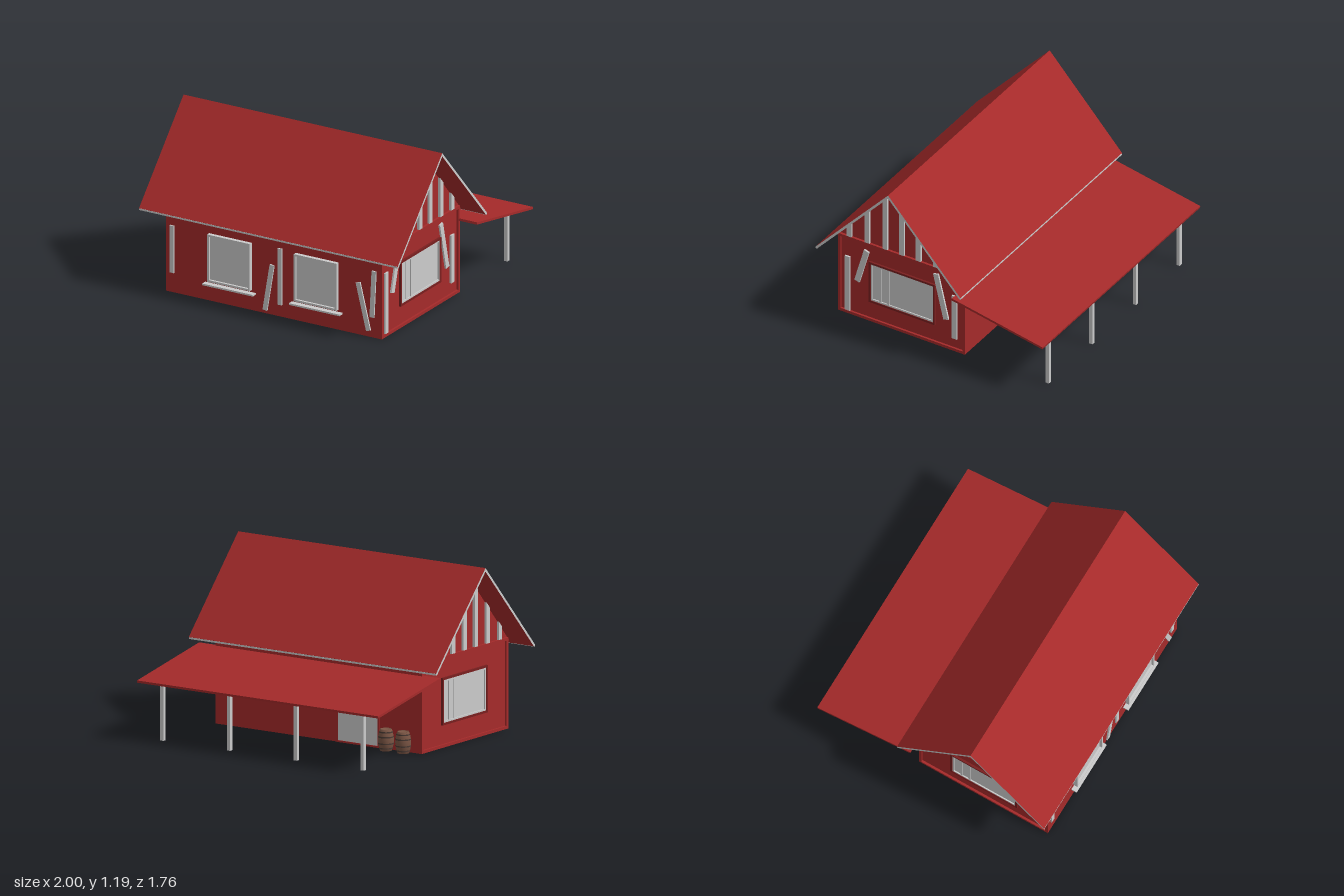
import * as THREE from 'three';

const mat = (color) => new THREE.MeshStandardMaterial({ color });
const grey = mat(0xcccccc), red = mat(0xa52a2a), darkRed = mat(0x7a1f1f);
const wood = mat(0x7a5544), hoopMat = mat(0x4a3a34);
const MID = 0.315; // z of the ridge

function add(parent, name, geo, material, x = 0, y = 0, z = 0) {
  const m = new THREE.Mesh(geo, material);
  m.name = name;
  m.position.set(x, y, z);
  parent.add(m);
  return m;
}

// Box given by its min and max corners
function box(parent, name, material, x0, x1, y0, y1, z0, z1) {
  return add(parent, name, new THREE.BoxGeometry(x1 - x0, y1 - y0, z1 - z0), material,
    (x0 + x1) / 2, (y0 + y1) / 2, (z0 + z1) / 2);
}

// Flat plank running from (ax, ay) to (bx, by) on a wall facing local +z
function plank(parent, ax, ay, bx, by, w, z, depth) {
  const len = Math.hypot(bx - ax, by - ay);
  const m = add(parent, 'wallPlank', new THREE.BoxGeometry(w, len, depth), grey,
    (ax + bx) / 2, (ay + by) / 2, z);
  m.rotation.z = -Math.atan2(bx - ax, by - ay);
}

// Rectangular frame with an opening, extruded along local +z
function frame(parent, name, material, x0, x1, y0, y1, t, z, depth) {
  const s = new THREE.Shape([[x0, y0], [x1, y0], [x1, y1], [x0, y1]].map(p => new THREE.Vector2(...p)));
  s.holes.push(new THREE.Path([[x0 + t, y0 + t], [x0 + t, y1 - t], [x1 - t, y1 - t], [x1 - t, y0 + t]]
    .map(p => new THREE.Vector2(...p))));
  return add(parent, name, new THREE.ExtrudeGeometry(s, { depth, bevelEnabled: false }), material, 0, 0, z);
}

// Cross-section in (u, y) extruded along x, centred on the ridge line
function prism(parent, name, pts, half, material) {
  const s = new THREE.Shape(pts.map(p => new THREE.Vector2(...p)));
  const g = new THREE.ExtrudeGeometry(s, { depth: 2 * half, bevelEnabled: false });
  g.translate(0, 0, -half).rotateY(Math.PI / 2);
  return add(parent, name, g, material, 0, 0, MID);
}

// One gable end: wall frame, window and battens under the roof slope
function gableEnd(side) {
  const g = new THREE.Group();
  g.name = side > 0 ? 'leftGableEnd' : 'rightGableEnd';
  g.rotation.y = side * Math.PI / 2;
  g.position.z = MID;
  frame(g, 'wallFrame', red, -0.495, 0.495, 0, 0.615, 0.02, 0.815, 0.02);
  frame(g, 'windowSurround', darkRed, -0.255, 0.26, 0.15, 0.47, 0.015, 0.815, 0.02);
  frame(g, 'windowFrame', grey, -0.24, 0.245, 0.165, 0.455, 0.012, 0.815, 0.016);
  box(g, 'windowPane', grey, -0.23, 0.235, 0.17, 0.45, 0.815, 0.823);
  for (const u of [-0.17, -0.11]) box(g, 'windowBar', grey, u - 0.008, u + 0.008, 0.17, 0.45, 0.815, 0.829);
  // battens with tops cut to the roof pitch
  const roofY = (u) => 1.165 - Math.abs(u) * 1.1;
  for (const u of [-0.41, -0.27, -0.13, 0, 0.13, 0.265, 0.405]) {
    const a = u - 0.019, b = u + 0.019;
    const pts = [[a, 0.615], [b, 0.615], [b, roofY(b)]];
    if (u === 0) pts.push([0, roofY(0)]);
    pts.push([a, roofY(a)]);
    const s = new THREE.Shape(pts.map(p => new THREE.Vector2(...p)));
    add(g, 'gableBatten', new THREE.ExtrudeGeometry(s, { depth: 0.02, bevelEnabled: false }), grey, 0, 0, 0.815);
  }
  // loose planks on one end only
  if (side > 0) {
    for (const [za, ya, zb, yb] of [[0.74, 0.02, 0.74, 0.45], [0.665, 0.28, 0.59, 0.545],
      [-0.03, 0.225, 0.05, 0.56], [-0.095, 0.095, -0.095, 0.435]])
      plank(g, MID - za, ya, MID - zb, yb, 0.04, 0.824, 0.018);
  }
  return g;
}

function frontWindow(x) {
  const g = new THREE.Group();
  g.name = 'frontWindow';
  g.position.x = x;
  frame(g, 'windowFrame', grey, -0.165, 0.165, 0.142, 0.478, 0.014, 0.805, 0.033);
  box(g, 'windowPane', grey, -0.155, 0.155, 0.15, 0.47, 0.805, 0.822);
  box(g, 'windowSill', grey, -0.195, 0.195, 0.115, 0.127, 0.805, 0.85);
  return g;
}

function barrel(x) {
  const g = new THREE.Group();
  g.name = 'barrel';
  g.position.set(x, 0.005, -0.237);
  const radius = (y) => 0.053 - 2.6 * (y - 0.0725) ** 2;
  const pts = [[0, 0.004], [0.034, 0.004], [0.036, 0]];
  for (let i = 0; i <= 8; i++) pts.push([radius(i * 0.145 / 8), i * 0.145 / 8]);
  pts.push([0.034, 0.145], [0.033, 0.138], [0, 0.138]);
  add(g, 'barrelBody', new THREE.LatheGeometry(pts.map(p => new THREE.Vector2(...p)), 18), wood);
  for (const y of [0.018, 0.05, 0.095, 0.127])
    add(g, 'barrelHoop', new THREE.CylinderGeometry(radius(y) + 0.0015, radius(y) + 0.0015, 0.009, 18, 1, true), hoopMat, 0, y, 0);
  return g;
}

export function createModel() {
  const model = new THREE.Group();
  model.name = 'cabin';

  // Body and attic
  box(model, 'walls', red, -0.82, 0.82, 0, 0.615, -0.18, 0.81);
  for (const s of [-1, 1]) {
    const c = s * 0.8275;
    box(model, 'cornerPost', red, c - 0.0075, c + 0.0075, 0, 0.6, 0.79, 0.81);
  }
  prism(model, 'attic', [[-0.53, 0.585], [0.53, 0.585], [0, 1.172]], 0.818, red);

  // Roof with pale edges
  prism(model, 'roof', [[-0.565, 0.575], [-0.552, 0.565], [0, 1.166], [0.552, 0.565], [0.565, 0.575], [0, 1.19]],
    1, [grey, red]);
  for (const s of [-1, 1]) {
    const z = MID + s * 0.559;
    box(model, 'eaveTrim', grey, -1, 1, 0.562, 0.574, z - 0.006, z + 0.006);
  }

  model.add(gableEnd(1), gableEnd(-1), frontWindow(-0.335), frontWindow(0.335));

  // Planks on the front wall
  for (const [ax, ay, bx, by] of [[-0.785, 0.14, -0.785, 0.475], [-0.065, 0.025, -0.01, 0.355],
    [0.05, 0.085, 0.05, 0.485], [0.735, 0.045, 0.655, 0.37], [0.762, 0.145, 0.778, 0.475]])
    plank(model, ax, ay, bx, by, 0.034, 0.813, 0.016);

  // Back door with a transom light above it
  const back = new THREE.Group();
  back.name = 'backDoor';
  back.rotation.y = Math.PI;
  frame(back, 'doorFrame', red, 0.15, 0.495, 0, 0.325, 0.012, 0.175, 0.014);
  box(back, 'doorPanel', grey, 0.16, 0.485, 0.01, 0.315, 0.175, 0.184);
  frame(back, 'transomFrame', red, 0.15, 0.495, 0.335, 0.47, 0.016, 0.175, 0.014);
  box(back, 'transomPane', grey, 0.163, 0.482, 0.348, 0.457, 0.175, 0.184);
  model.add(back);

  // Porch roof on four posts
  const y0 = 0.387, y1 = 0.52, z0 = -0.875, z1 = -0.165;
  const porch = add(model, 'porchRoof', new THREE.BoxGeometry(1.95, 0.016, Math.hypot(y1 - y0, z1 - z0)), red,
    0, (y0 + y1) / 2, (z0 + z1) / 2);
  porch.rotation.x = -Math.atan2(y1 - y0, z1 - z0);
  for (const x of [-0.81, -0.27, 0.27, 0.81])
    box(model, 'porchPost', grey, x - 0.013, x + 0.013, 0, 0.395, -0.828, -0.802);

  model.add(barrel(-0.585), barrel(-0.725));
  return model;
}
